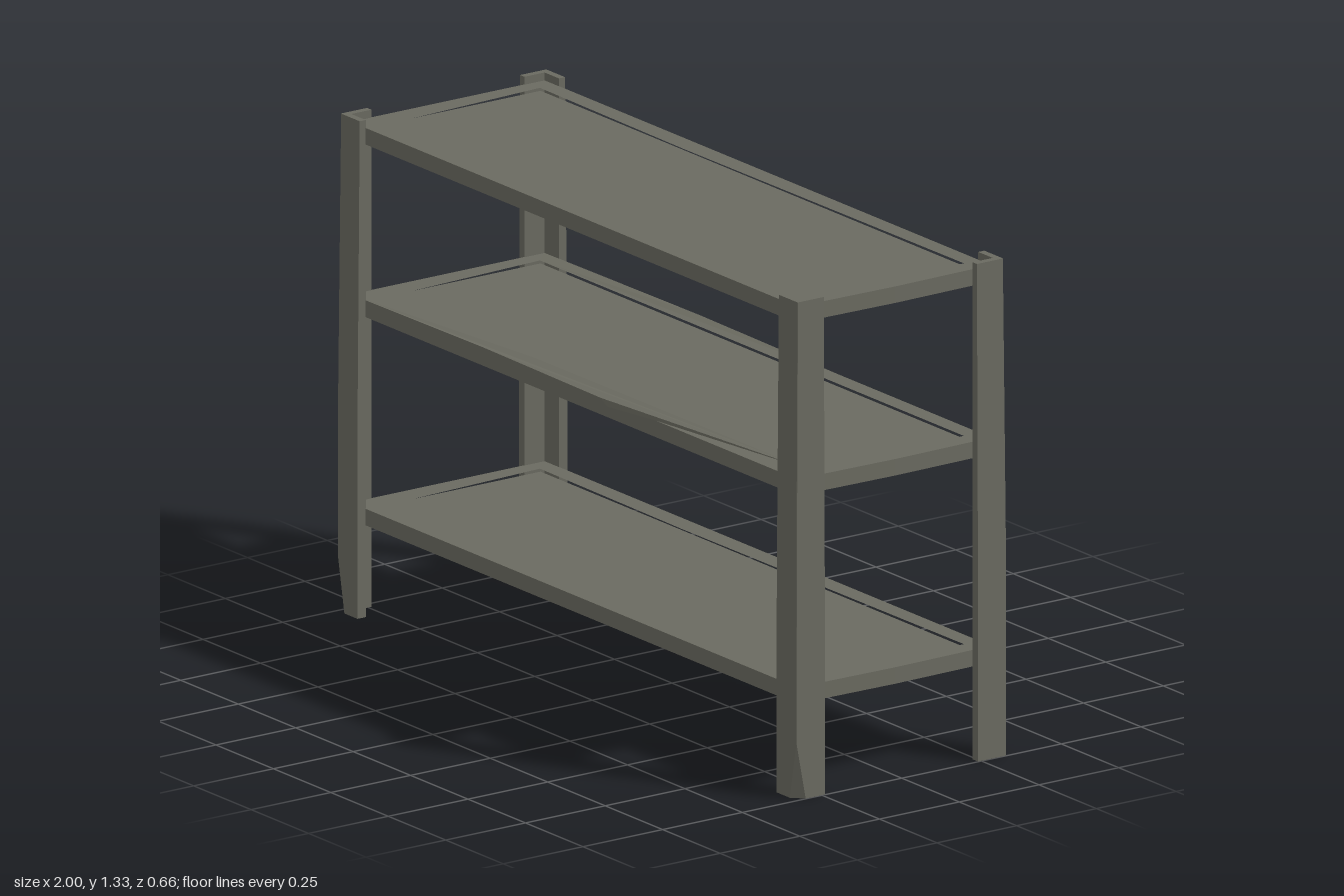
import * as THREE from 'three';

const metal = new THREE.MeshStandardMaterial({ color: 0x6a6a60 });
metal.name = 'grey metal';

const HEIGHT = 1.325;

// Extrudes a plan outline of [x, z] points upwards, with y starting at 0
function extrudeUp(points, height, steps = 1, hole = null) {
  const toVectors = (list) => list.map(([x, z]) => new THREE.Vector2(x, -z));
  const shape = new THREE.Shape(toVectors(points));
  if (hole) shape.holes.push(new THREE.Path(toVectors(hole)));
  return new THREE.ExtrudeGeometry(shape, { depth: height, steps, bevelEnabled: false })
    .rotateX(-Math.PI / 2);
}

// Moves each vertex by a rule, then refreshes the flat normals
function moveVertices(geometry, rule) {
  const pos = geometry.attributes.position;
  const v = new THREE.Vector3();
  for (let i = 0; i < pos.count; i++) {
    rule(v.fromBufferAttribute(pos, i));
    pos.setXYZ(i, v.x, v.y, v.z);
  }
  geometry.computeVertexNormals();
  return geometry;
}

// L-section corner post; the front pair has worn foot corners
function makePost(sx, sz) {
  const X = 0.994, Z = 0.322, leg = 0.082, t = 0.019, split = 0.001;
  const points = [
    [X - split, Z], [X, Z - split], [X, Z - leg], [X - t, Z - leg],
    [X - t, Z - t], [X - leg, Z - t], [X - leg, Z],
  ].map(([x, z]) => [x * sx, z * sz]);
  const geometry = moveVertices(extrudeUp(points, HEIGHT, 9), (v) => {
    const ax = Math.abs(v.x), az = Math.abs(v.z);
    const nearX = ax > X - 0.002, nearZ = az > Z - 0.002;
    // chipped outer corner at the foot
    if (sz > 0 && v.y < 0.01 && nearX && nearZ) {
      if (az > Z - split / 2) v.x -= sx * 0.028;
      else v.z -= sz * 0.028;
    }
    // slight outward swelling towards the foot
    const swell = 0.007 * Math.min(1, (HEIGHT - v.y) / 0.8);
    if (nearZ) v.z += sz * swell;
    if (nearX) v.x += sx * swell * 0.6;
  });
  const post = new THREE.Mesh(geometry, metal);
  post.name = (sz > 0 ? 'front' : 'back') + (sx > 0 ? 'Left' : 'Right') + 'Post';
  return post;
}

// Shelf: raised rim around a thin, inset panel
function makeShelf(y, name, dented) {
  const shelf = new THREE.Group();
  shelf.name = name;
  const outer = [
    [-0.977, -0.304], [-0.3, -0.304], [0.3, -0.304], [0.967, -0.304], [0.973, 0],
    [0.967, 0.304], [0.35, 0.304], [0.14, 0.304], [0.11, 0.304], [-0.4, 0.304], [-0.977, 0.304],
  ];
  const inner = [
    [-0.93, -0.256], [-0.3, -0.248], [0.915, -0.256], [0.915, 0.234], [-0.25, 0.25], [-0.905, 0.24],
  ];
  const rimGeometry = moveVertices(extrudeUp(outer, 0.044, 1, inner), (v) => {
    if (!dented || v.y < 0.04) return;
    if (v.z > 0.3 && Math.abs(v.x - 0.14) < 0.01) v.y -= 0.016;
    if (Math.abs(v.x + 0.35) < 0.11) v.y += 0.005;
  });
  const rim = new THREE.Mesh(rimGeometry, metal);
  rim.name = 'shelfRim';
  const panel = new THREE.Mesh(new THREE.BoxGeometry(1.88, 0.02, 0.53), metal);
  panel.name = 'shelfPanel';
  panel.position.y = 0.022;
  shelf.add(rim, panel);
  shelf.position.y = y;
  return shelf;
}

export function createModel() {
  const model = new THREE.Group();
  model.name = 'shelvingUnit';
  for (const sx of [-1, 1]) for (const sz of [-1, 1]) model.add(makePost(sx, sz));
  model.add(
    makeShelf(0.245, 'bottomShelf', false),
    makeShelf(0.8, 'middleShelf', true),
    makeShelf(1.26, 'topShelf', false),
  );
  return model;
}
